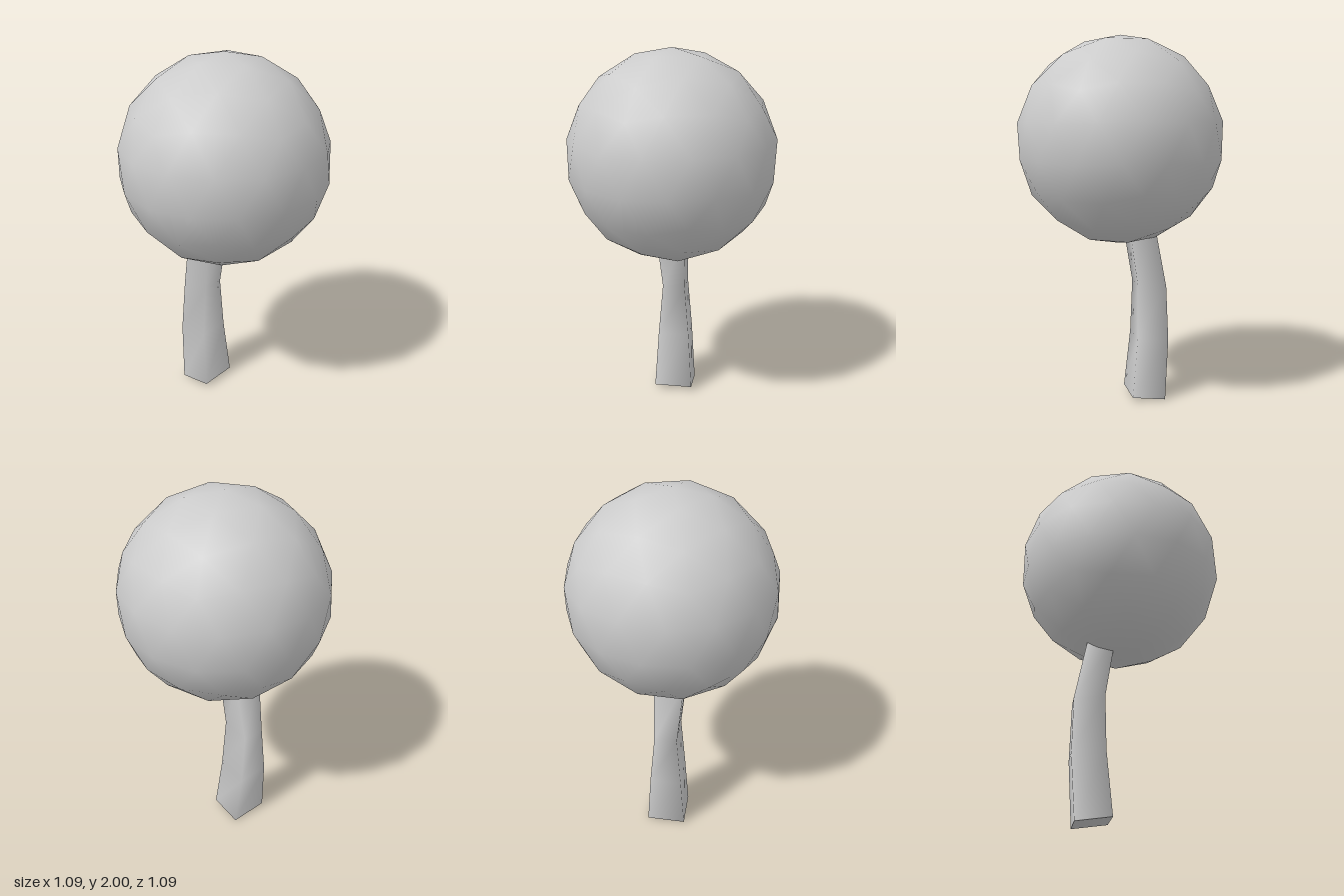
import * as THREE from 'three';

const material = new THREE.MeshStandardMaterial({ color: 0xcccccc });

// Four corners of one stem ring, counter-clockwise seen from above
function ring([x0, x1, zFront, yFront, zBack, yBack]) {
  return [
    [x0, yFront, zFront], [x1, yFront, zFront],
    [x1, yBack, zBack], [x0, yBack, zBack],
  ].flat();
}

// Join rings of four corners into a smooth-shaded skin
function loft(rings) {
  const index = [];
  for (let r = 0; r < rings.length - 1; r++) {
    for (let i = 0; i < 4; i++) {
      const a = r * 4 + i, b = r * 4 + (i + 1) % 4;
      index.push(a, b, b + 4, a, b + 4, a + 4);
    }
  }
  const g = new THREE.BufferGeometry();
  g.setAttribute('position', new THREE.Float32BufferAttribute(rings.flatMap(ring), 3));
  g.setIndex(index);
  g.computeVertexNormals();
  return g;
}

// Flat end cap over one ring
function cap(section, order) {
  const g = new THREE.BufferGeometry();
  g.setAttribute('position', new THREE.Float32BufferAttribute(ring(section), 3));
  g.setIndex(order);
  g.computeVertexNormals();
  return g;
}

export function createModel() {
  const model = new THREE.Group();
  model.name = 'ballOnStem';
  const add = (name, geometry, parent = model) => {
    const mesh = new THREE.Mesh(geometry, material);
    mesh.name = name;
    parent.add(mesh);
    return mesh;
  };

  // Faceted, smooth-shaded ball with a vertex at the very top
  const ball = new THREE.IcosahedronGeometry(0.557, 2);
  ball.rotateZ(Math.atan(2 / (1 + Math.sqrt(5))));
  add('ball', ball).position.y = 1.443;

  // Bent square stem: xRight, xLeft, zFront, yFront, zBack, yBack
  const sections = [
    [-0.108, 0.108, -0.048, 0.03, -0.233, 0.005],
    [-0.09, 0.085, -0.08, 0.36, -0.255, 0.34],
    [-0.065, 0.06, -0.085, 0.66, -0.248, 0.64],
    [-0.093, 0.068, -0.038, 0.97, -0.178, 0.99],
  ];
  const stem = new THREE.Group();
  stem.name = 'stem';
  model.add(stem);
  add('stemSides', loft(sections), stem);
  add('stemBottom', cap(sections[0], [0, 2, 1, 0, 3, 2]), stem);
  add('stemTop', cap(sections[3], [0, 1, 2, 0, 2, 3]), stem);

  return model;
}
